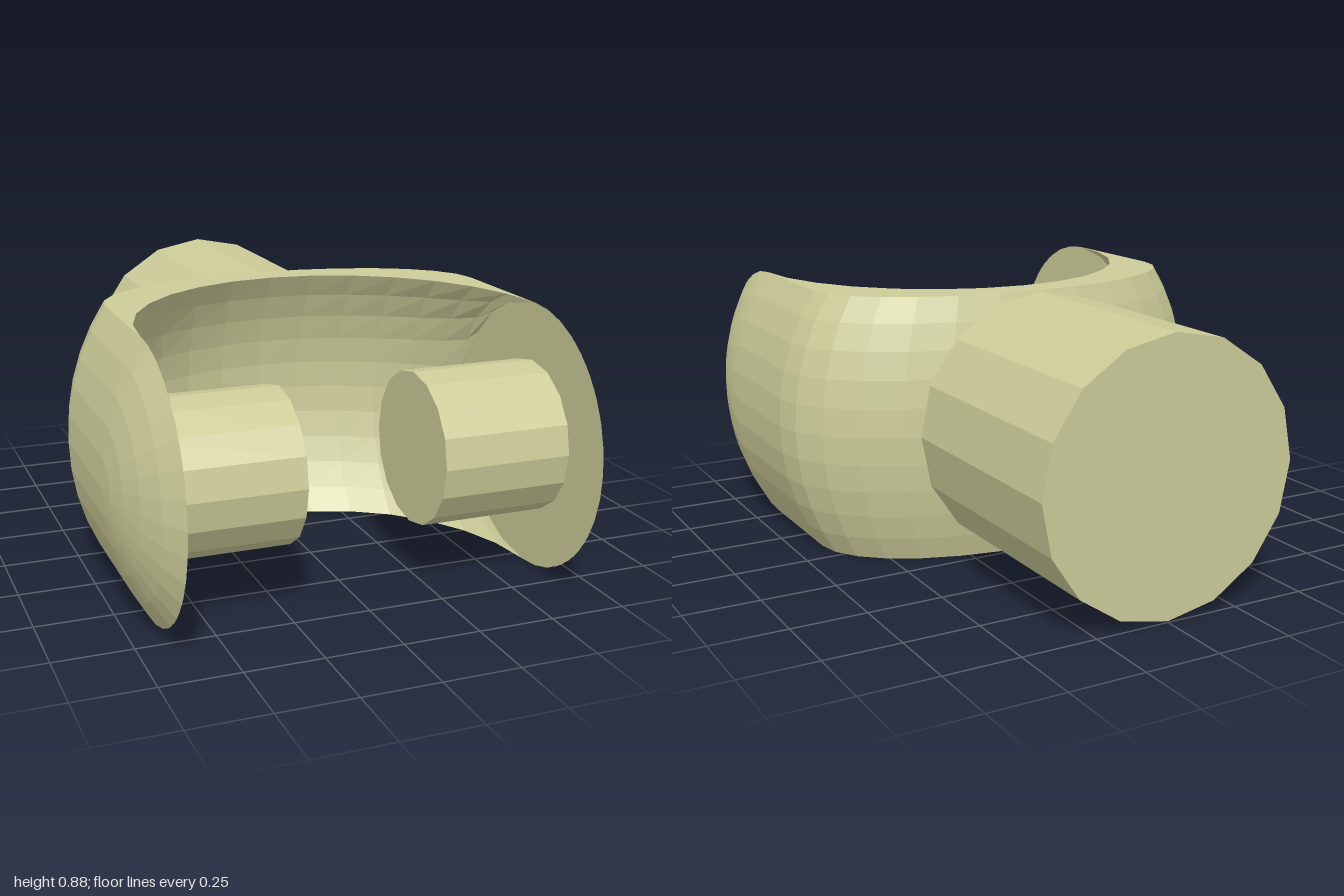
import * as THREE from 'three';

const CY = 0.445;               // height of the central axis
const H = 0.442;                // half height of the yoke
const AX = 0.652;               // inner face of each arm
const R = Math.hypot(AX, H);    // radius of the bulged outside and the hollow
const ZP = 0.55;                // z of the pin axis
const ZB = 0.11;                // z where the arms start to bend together
const BACK = 1.045;             // depth stretch of the hollow

const material = new THREE.MeshStandardMaterial({
  color: 0xcccc99, flatShading: true, side: THREE.DoubleSide,
});

// n + 1 even steps from a to b
const steps = (a, b, n) => Array.from({ length: n + 1 }, (_, i) => a + (b - a) * i / n);

// Skin a list of equal-length cross-sections
function loft(sections) {
  const m = sections[0].length, index = [];
  for (let i = 0; i < sections.length - 1; i++) {
    for (let j = 0; j < m - 1; j++) {
      const a = i * m + j, b = a + m;
      index.push(a, b, b + 1, a, b + 1, a + 1);
    }
  }
  const g = new THREE.BufferGeometry();
  g.setAttribute('position', new THREE.Float32BufferAttribute(sections.flat(2), 3));
  g.setIndex(index);
  g.computeVertexNormals();
  return g;
}

export function createModel() {
  const group = new THREE.Group();
  const add = (name, geometry) => {
    const mesh = new THREE.Mesh(geometry, material);
    mesh.name = name;
    group.add(mesh);
    return mesh;
  };

  // Outer skin: rounded tip, straight arm, bend round the back, and mirrored
  const phiMax = Math.asin(H / R);
  const profile = steps(-phiMax, phiMax, 10).map(p => [R * Math.cos(p), R * Math.sin(p)]);
  const tip = (side, a) => profile.map(([x, y]) =>
    [side * x, CY + y * Math.cos(a), ZP + Math.abs(y) * Math.sin(a)]);
  const bend = t => profile.map(([x, y]) =>
    [x * Math.cos(t), CY + y, ZB - 0.537 * x * Math.sin(t)]);
  add('yokeOuterSkin', loft([
    ...steps(Math.PI / 2, 0, 8).map(a => tip(1, a)),
    ...steps(0, Math.PI, 14).map(bend),
    ...steps(0, Math.PI / 2, 8).map(a => tip(-1, a)),
  ]));

  // Spherical hollow between the arms
  const angles = steps(0, Math.PI, 14);
  add('yokeHollow', loft(angles.map(t => {
    const x = -AX * Math.cos(t), r = Math.sqrt(R * R - x * x);
    const b = Math.asin(Math.min(1, H / r));
    return steps(-b, b, 10).map(v => [x, CY + r * Math.sin(v), ZP - BACK * r * Math.cos(v)]);
  })));

  // Flat rims above and below
  for (const s of [1, -1]) {
    add(s > 0 ? 'topRim' : 'bottomRim', loft(angles.map(t => {
      const x = AX * Math.cos(t), y = CY + s * H;
      const edge = [
        [x, y, ZB - 0.537 * AX * Math.sin(t)],
        [x, y, ZP - BACK * AX * Math.sin(t)],
      ];
      return s > 0 ? edge : edge.reverse();
    })));
  }

  // Inner arm faces and the pins standing on them
  for (const s of [1, -1]) {
    const side = s > 0 ? 'left' : 'right';
    add(side + 'ArmFace', loft(steps(-Math.PI / 2, Math.PI / 2, 18).map(a => {
      const z = ZP + H * Math.sin(a) * (a < 0 ? BACK : 1);
      return [-s, s].map(k => [s * AX, CY + k * H * Math.cos(a), z]);
    })));

    const pin = new THREE.CylinderGeometry(0.25, 0.25, 0.49, 16);
    pin.rotateZ(Math.PI / 2);
    add(side + 'Pin', pin).position.set(s * 0.47, CY + 0.003, ZP);
  }

  // Shaft, open where it joins the yoke, with its end cap
  const shaft = new THREE.CylinderGeometry(0.438, 0.438, 0.765, 16, 1, true);
  shaft.rotateX(Math.PI / 2);
  add('shaft', shaft).position.set(0, CY, -0.6175);
  const cap = add('shaftEnd', new THREE.CircleGeometry(0.438, 16));
  cap.rotation.y = Math.PI;
  cap.position.set(0, CY, -1);

  return group;
}
